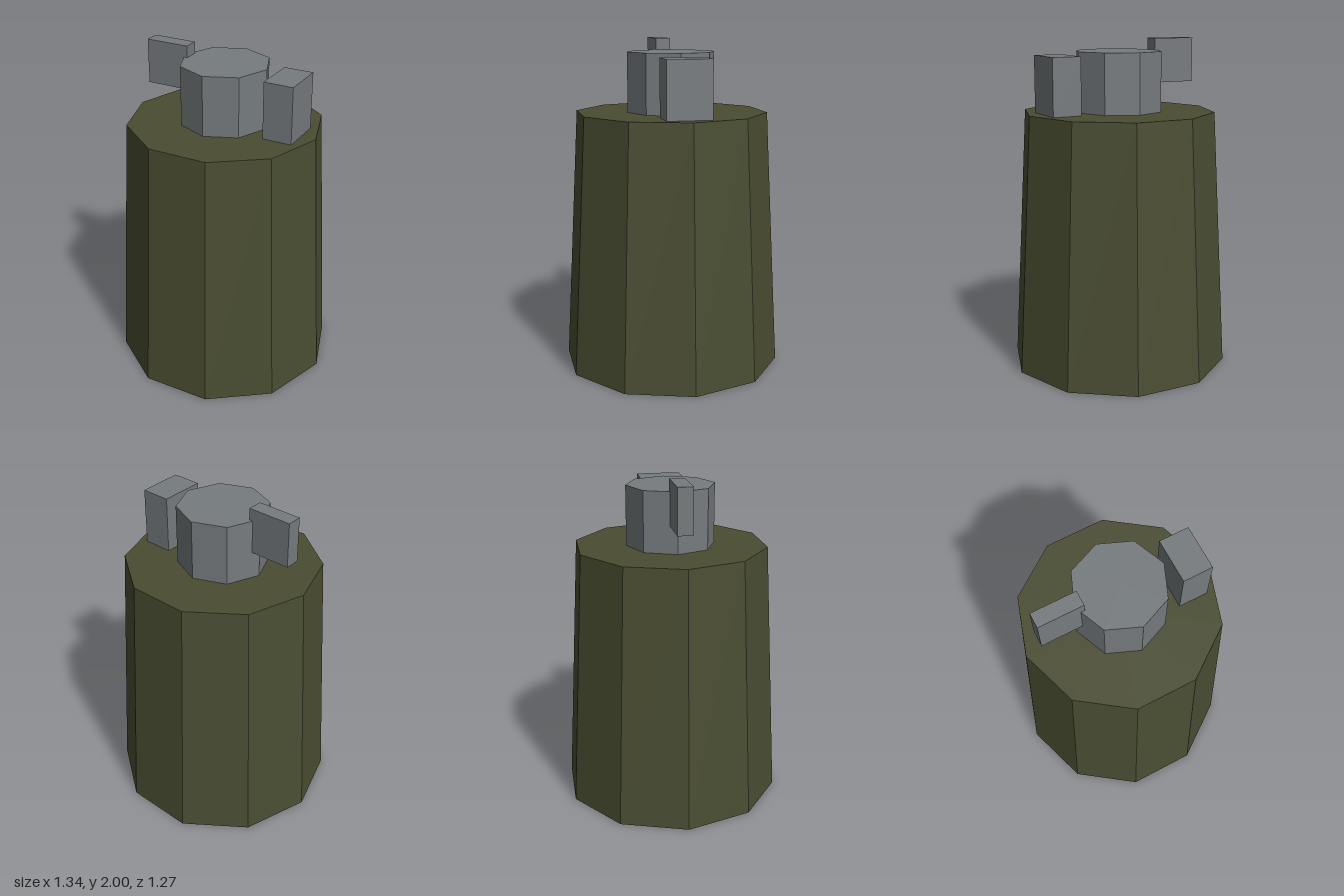
import * as THREE from 'three';

export function createModel() {
  const model = new THREE.Group();
  const olive = new THREE.MeshStandardMaterial({ color: 0x4a4d32, flatShading: true });
  olive.name = 'olive';
  const steel = new THREE.MeshStandardMaterial({ color: 0x767b7e, flatShading: true });
  steel.name = 'steel grey';

  const add = (name, geometry, material, x, y, z = 0) => {
    const mesh = new THREE.Mesh(geometry, material);
    mesh.name = name;
    mesh.position.set(x, y, z);
    model.add(mesh);
    return mesh;
  };

  const bodyTop = 1.57;

  // Tapered ten-sided body, with corners on the x axis
  const body = new THREE.CylinderGeometry(0.582, 0.67, bodyTop, 10).rotateY(Math.PI / 2);
  add('body', body, olive, 0, bodyTop / 2);

  // Eight-sided neck
  add('neck', new THREE.CylinderGeometry(0.267, 0.267, 0.36, 8), steel, 0, bodyTop + 0.18);

  // Thin lever overlapping the neck on one side
  add('lever', new THREE.BoxGeometry(0.268, 0.267, 0.09), steel, -0.36, 1.867);

  // Upright block on the other side
  add('sideBlock', new THREE.BoxGeometry(0.178, 0.34, 0.268), steel, 0.401, bodyTop + 0.17);

  return model;
}
